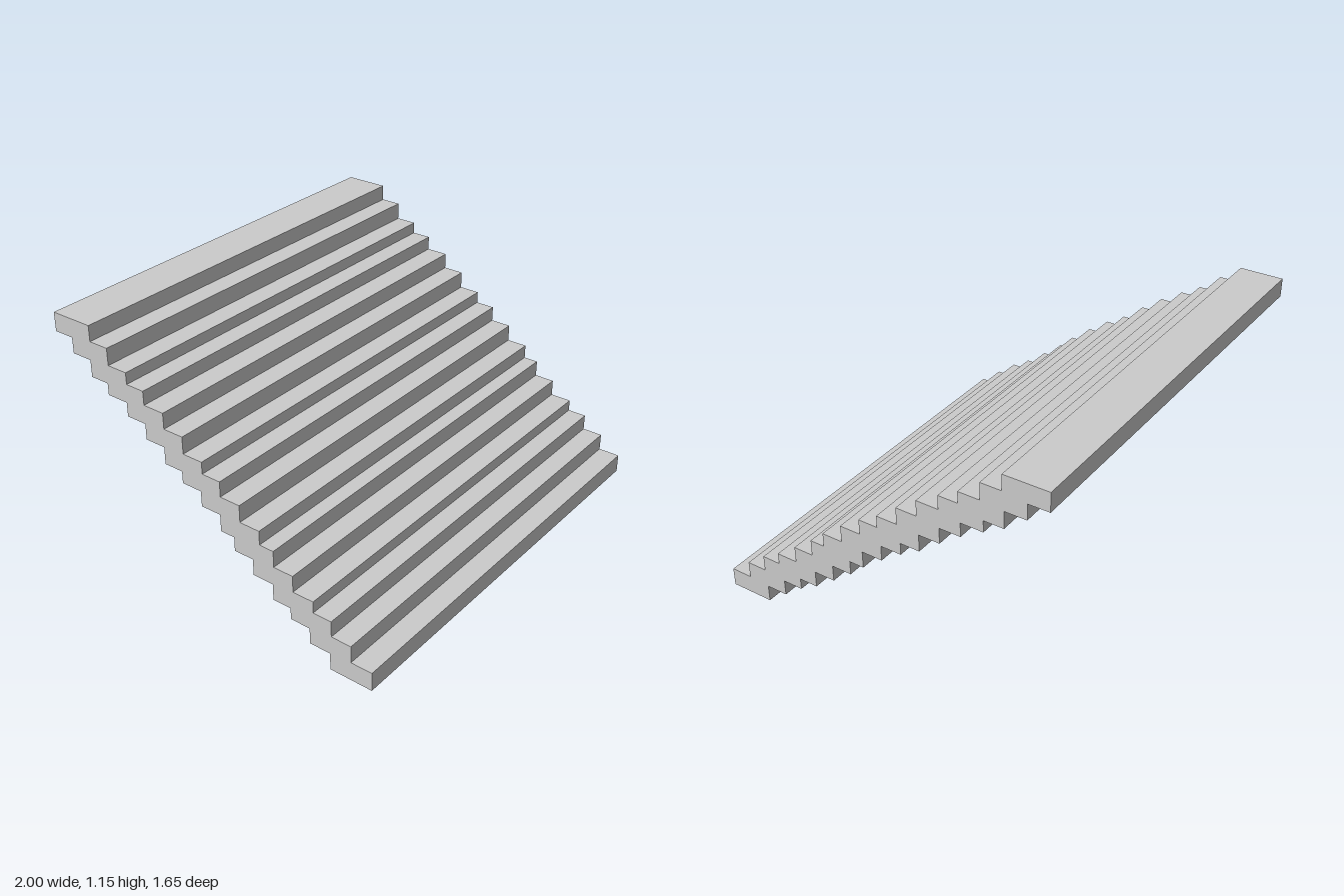
import * as THREE from 'three';

export function createModel() {
  const group = new THREE.Group();
  group.name = 'staircase';
  const material = new THREE.MeshStandardMaterial({ color: 0xcccccc, flatShading: true });

  // Slightly uneven treads: [front edge z, top y], from the lowest to the highest
  const steps = [
    [0.827, 0.088], [0.724, 0.168], [0.627, 0.243], [0.537, 0.297],
    [0.435, 0.374], [0.338, 0.451], [0.267, 0.517], [0.167, 0.597],
    [0.067, 0.669], [-0.026, 0.725], [-0.126, 0.805], [-0.226, 0.879],
    [-0.331, 0.944], [-0.423, 0.998], [-0.523, 1.077], [-0.62, 1.15],
  ];
  const depth = 0.207, height = 0.088;

  // One full-width slab per step, each overlapping the slab below
  const slab = new THREE.BoxGeometry(2, height, depth);
  steps.forEach(([front, top], i) => {
    const step = new THREE.Mesh(slab, material);
    step.name = `step${i + 1}`;
    step.position.set(0, top - height / 2, front - depth / 2);
    group.add(step);
  });
  return group;
}
